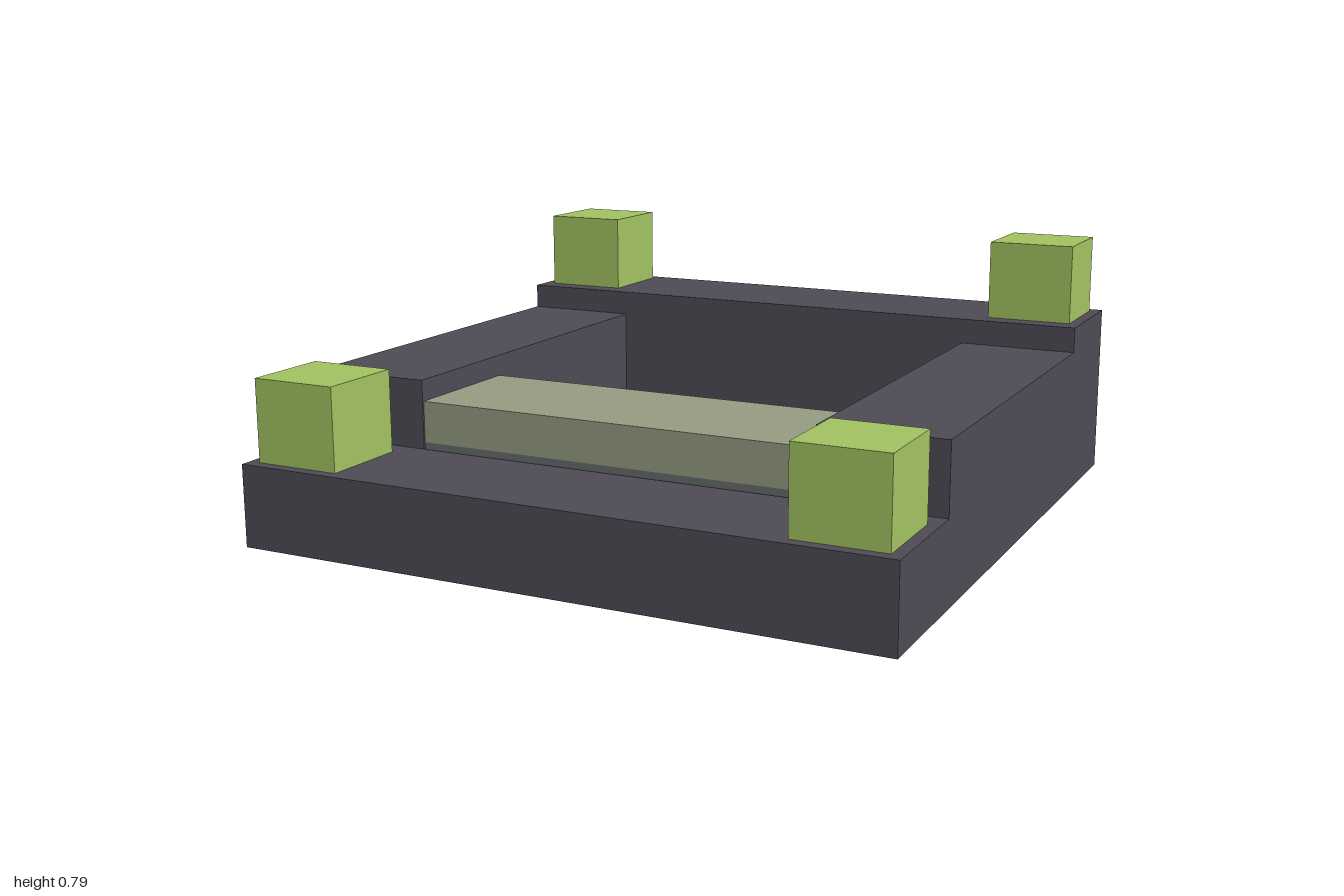
import * as THREE from 'three';

const material = (name, color) => {
  const m = new THREE.MeshStandardMaterial({ color });
  m.name = name;
  return m;
};

export function createModel() {
  const model = new THREE.Group();
  model.name = 'steppedFrame';
  const slate = material('slate', 0x4e4a55);
  const lime = material('lime', 0xa0c060);
  const sage = material('sage', 0x939a80);
  const grey = material('grey', 0x656a69);
  const darkGreen = material('darkGreen', 0x212b22);

  // Box given by its limits on each axis
  const block = (name, mat, [x0, x1], [y0, y1], [z0, z1]) => {
    const mesh = new THREE.Mesh(new THREE.BoxGeometry(x1 - x0, y1 - y0, z1 - z0), mat);
    mesh.position.set((x0 + x1) / 2, (y0 + y1) / 2, (z0 + z1) / 2);
    mesh.name = name;
    model.add(mesh);
  };

  const inner = 0.628;
  const span = [-inner, inner];

  // Outer frame, rising towards the back
  block('frontBeam', slate, [-1, 1], [0, 0.25], [inner, 1]);
  block('backBeam', slate, [-1, 1], [0, 0.54], [-1, -inner]);
  block('leftBeam', slate, [inner, 1], [0, 0.46], span);
  block('rightBeam', slate, [-1, -inner], [0, 0.46], span);

  // Floor and steps, descending towards the back
  block('floor', darkGreen, span, [0, 0.02], span);
  block('lowStep', darkGreen, span, [0.02, 0.18], [-0.5, -0.21]);
  block('middleStep', grey, span, [0.02, 0.27], [-0.21, 0.622]);
  block('highStep', sage, span, [0.27, 0.395], [0.21, 0.622]);

  // Corner cubes
  for (const [side, x] of [['Left', 0.695], ['Right', -0.965]]) {
    block('front' + side + 'Cube', lime, [x, x + 0.27], [0.25, 0.5], [0.695, 0.965]);
    block('back' + side + 'Cube', lime, [x, x + 0.27], [0.54, 0.79], [-0.965, -0.695]);
  }

  return model;
}
